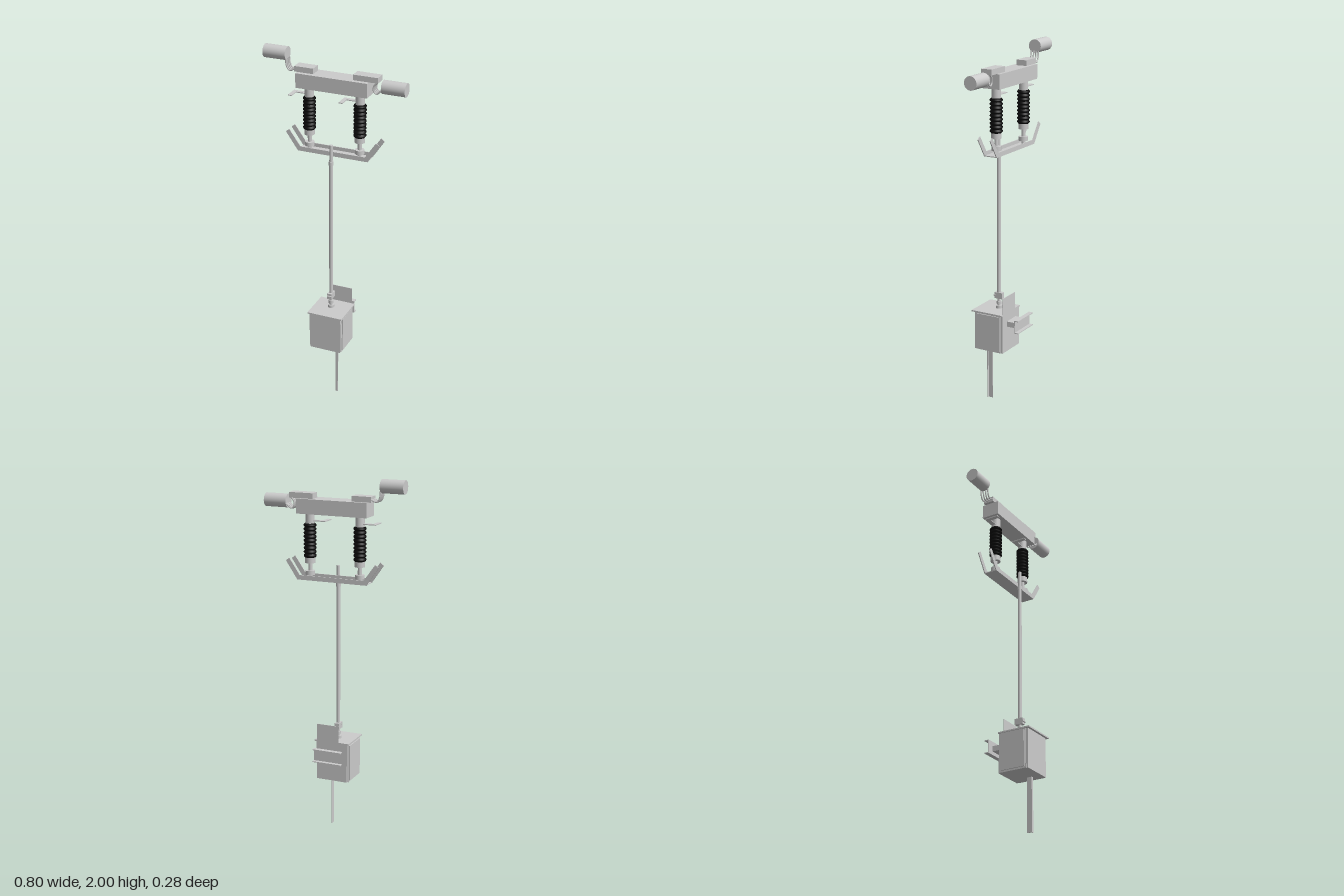
import * as THREE from 'three';

const grey = new THREE.MeshStandardMaterial({ color: 0xcccccc, side: THREE.DoubleSide });
const black = new THREE.MeshStandardMaterial({ color: 0x0a0a0a });

export function createModel() {
  const model = new THREE.Group();

  const add = (name, geometry, parent = model, material = grey) => {
    const mesh = new THREE.Mesh(geometry, material);
    mesh.name = name;
    parent.add(mesh);
    return mesh;
  };
  // Box given by its extents on each axis
  const box = (name, [x0, x1], [y0, y1], [z0, z1], parent) => {
    const mesh = add(name, new THREE.BoxGeometry(x1 - x0, y1 - y0, z1 - z0), parent);
    mesh.position.set((x0 + x1) / 2, (y0 + y1) / 2, (z0 + z1) / 2);
    return mesh;
  };
  // Upright cylinder between two heights
  const post = (name, x, z, r, y0, y1, parent, sides = 20) => {
    const mesh = add(name, new THREE.CylinderGeometry(r, r, y1 - y0, sides), parent);
    mesh.position.set(x, (y0 + y1) / 2, z);
    return mesh;
  };
  const outline = (points) => new THREE.Shape(points.map(([x, y]) => new THREE.Vector2(x, y)));

  const midZ = -0.038;

  // Upper beam with a mounting block at each end
  box('crossBeam', [-0.205, 0.2], [1.8, 1.88], [-0.09, 0.012]);
  box('rightMountBlock', [-0.222, -0.113], [1.88, 1.91], [-0.073, -0.012]);
  box('leftMountBlock', [0.112, 0.25], [1.88, 1.91], [-0.073, -0.012]);

  // Contact cylinders carried on curved spring fingers
  const contacts = [
    { side: 'right', x: -0.335, y: 1.965,
      path: [[-0.27, 1.94], [-0.268, 1.91], [-0.255, 1.885], [-0.24, 1.884], [-0.215, 1.897]] },
    { side: 'left', x: 0.335, y: 1.858,
      path: [[0.245, 1.882], [0.228, 1.865], [0.225, 1.838], [0.24, 1.822], [0.272, 1.845]] },
  ];
  for (const { side, x, y, path } of contacts) {
    const drum = add(`${side}ContactCylinder`, new THREE.CylinderGeometry(0.037, 0.037, 0.13, 24));
    drum.rotation.z = Math.PI / 2;
    drum.position.set(x, y, midZ);
    for (let i = 0; i < 4; i++) {
      const z = midZ + (i - 1.5) * 0.015;
      const curve = new THREE.CatmullRomCurve3(path.map(([px, py]) => new THREE.Vector3(px, py, z)));
      add(`${side}SpringFinger`, new THREE.TubeGeometry(curve, 16, 0.0045, 6));
    }
  }

  // Ribbed insulators
  const ribs = 9, bottom = 1.56, pitch = 0.185 / ribs;
  const profile = [[0, bottom]];
  for (let i = 0; i < ribs; i++) {
    const y = bottom + i * pitch;
    profile.push([0.028, y], [0.035, y + pitch * 0.4], [0.035, y + pitch * 0.6], [0.028, y + pitch]);
  }
  profile.push([0, bottom + ribs * pitch]);
  for (const x of [-0.147, 0.143]) {
    const insulator = new THREE.Group();
    insulator.name = 'insulatorAssembly';
    model.add(insulator);
    const body = add('ribbedInsulator',
      new THREE.LatheGeometry(profile.map(([r, y]) => new THREE.Vector2(r, y)), 24), insulator, black);
    body.position.set(x, 0, midZ);
    post('insulatorNeck', x, midZ, 0.025, 1.745, 1.8, insulator);
    post('insulatorBase', x, midZ, 0.028, 1.53, 1.56, insulator);
    post('insulatorStem', x, midZ, 0.011, 1.445, 1.53, insulator);
    post('insulatorFoot', x, midZ, 0.026, 1.465, 1.488, insulator);
    // Angled terminal strip
    const strip = outline([[0, -0.012], [-0.094, -0.012], [-0.094, 0.068],
      [-0.072, 0.068], [-0.072, 0.012], [0, 0.012]]);
    const terminal = add('terminalStrip',
      new THREE.ExtrudeGeometry(strip, { depth: 0.005, bevelEnabled: false }), insulator);
    terminal.rotation.x = Math.PI / 2;
    terminal.position.set(x, 1.763, midZ);
  }

  // Lower guard channel: floor plate and two side rails with raised horns
  box('guardFloor', [-0.2, 0.203], [1.44, 1.445], [-0.077, 0.001]);
  const rail = outline([[-0.27, 1.54], [-0.2, 1.44], [0.203, 1.44], [0.27, 1.54],
    [0.25, 1.555], [0.188, 1.465], [-0.185, 1.465], [-0.25, 1.555]]);
  for (const z of [-0.077, -0.004]) {
    const mesh = add('hornedSideRail', new THREE.ExtrudeGeometry(rail, { depth: 0.005, bevelEnabled: false }));
    mesh.position.z = z;
  }

  // Drive rod and its couplings
  const rodX = 0.006, rodZ = 0.027;
  post('driveRod', rodX, rodZ, 0.0105, 0.6, 1.43);
  post('rodTip', rodX, rodZ, 0.009, 1.42, 1.515);
  post('rodCollar', rodX, rodZ, 0.014, 1.4, 1.422);
  post('outputShaft', rodX, rodZ, 0.009, 0.53, 0.61);
  post('shaftFlange', rodX, rodZ, 0.018, 0.53, 0.545);
  post('shaftCollar', rodX, rodZ, 0.014, 0.555, 0.572);
  box('rodClamp', [-0.008, 0.018], [0.587, 0.622], [0.002, 0.05]);
  const pin = add('clampPin', new THREE.CylinderGeometry(0.006, 0.006, 0.03, 10));
  pin.rotation.z = Math.PI / 2;
  pin.position.set(rodX, 0.604, 0.048);

  // Mechanism cabinet
  box('cabinetBody', [-0.085, 0.106], [0.302, 0.525], [-0.042, 0.116]);
  box('cabinetFront', [-0.08, 0.103], [0.302, 0.525], [0.116, 0.127]);
  box('cabinetBack', [-0.08, 0.103], [0.302, 0.525], [-0.052, -0.042]);
  for (const [x0, x1] of [[-0.091, -0.085], [0.106, 0.112]]) {
    box('cabinetSidePanel', [x0, x1], [0.312, 0.515], [-0.034, 0.108]);
  }
  box('cabinetLid', [-0.09, 0.116], [0.522, 0.53], [-0.052, 0.14]);
  box('backPlate', [-0.03, 0.1], [0.4, 0.625], [-0.054, -0.051]);

  // Rear mounting bracket with a C-channel
  box('bracketArm', [-0.04, 0.06], [0.45, 0.48], [-0.117, -0.052]);
  box('channelWeb', [-0.08, 0.088], [0.43, 0.505], [-0.121, -0.116]);
  box('channelLowerLip', [-0.08, 0.088], [0.43, 0.435], [-0.142, -0.117]);
  box('channelUpperLip', [-0.08, 0.088], [0.5, 0.505], [-0.142, -0.117]);

  // Angle-section leg below the cabinet
  box('legSideFlange', [0.052, 0.056], [0, 0.302], [0.04, 0.07]);
  box('legFrontFlange', [0.052, 0.066], [0, 0.302], [0.066, 0.07]);

  return model;
}
